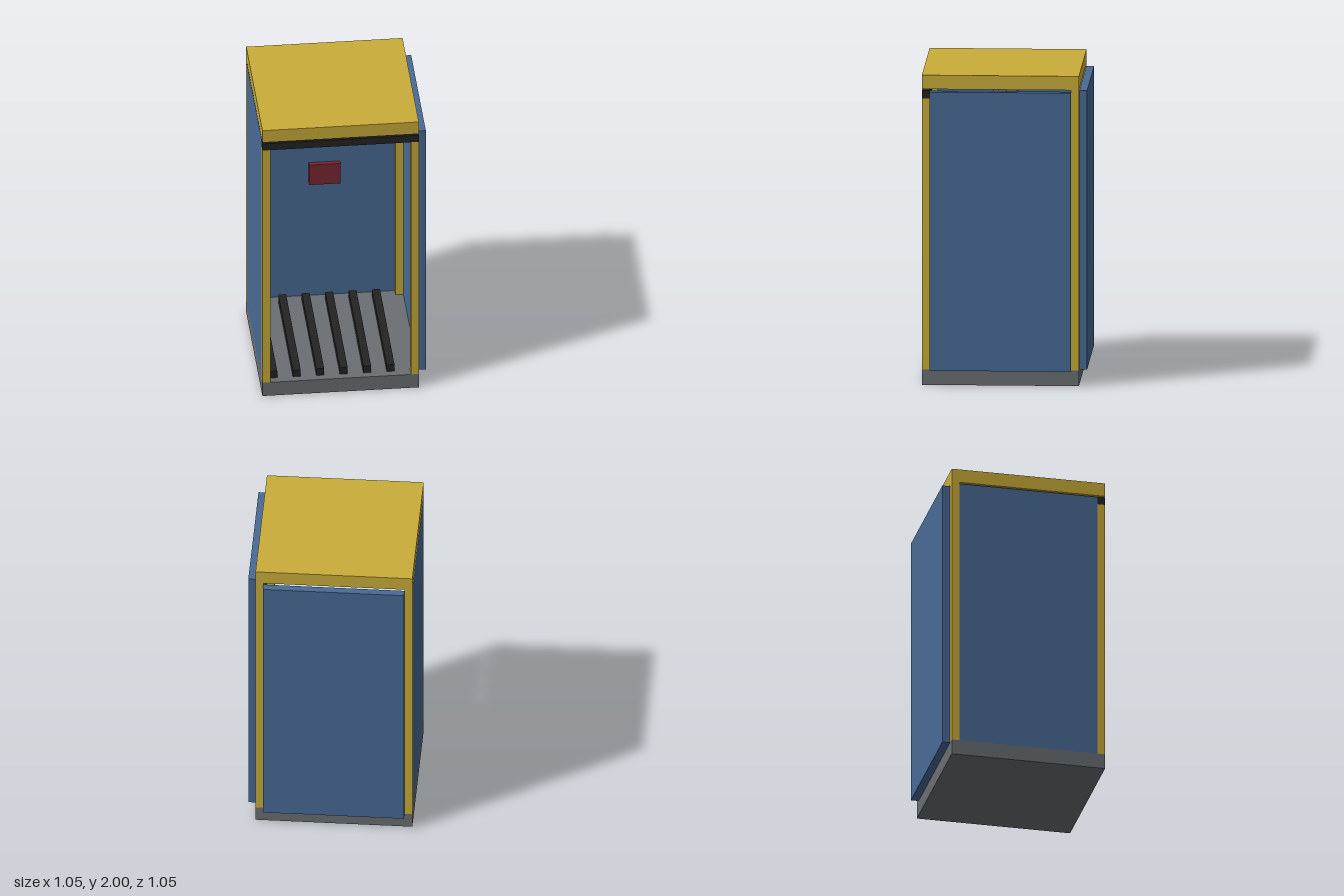
import * as THREE from 'three';

function mat(name, color) {
  const m = new THREE.MeshStandardMaterial({ color });
  m.name = name;
  return m;
}

export function createModel() {
  const yellow = mat('mustardYellow', 0xcaad39);
  const blue = mat('steelBlue', 0x496b96);
  const gray = mat('gray', 0x6b6f73);
  const black = mat('black', 0x232323);
  const red = mat('darkRed', 0x7a2630);

  const model = new THREE.Group();
  model.name = 'booth';

  // The frame is one unit square; the outer panels shift it off centre
  const body = new THREE.Group();
  body.name = 'body';
  body.position.set(-0.025, 0, 0.025);
  model.add(body);

  // Box given by its ranges along x, y and z
  function box(name, material, [x0, x1], [y0, y1], [z0, z1]) {
    const mesh = new THREE.Mesh(new THREE.BoxGeometry(x1 - x0, y1 - y0, z1 - z0), material);
    mesh.position.set((x0 + x1) / 2, (y0 + y1) / 2, (z0 + z1) / 2);
    mesh.name = name;
    body.add(mesh);
  }
  const around = (c, size) => [c - size / 2, c + size / 2];

  // Base and roof
  box('base', gray, [-0.5, 0.5], [0, 0.1], [-0.5, 0.5]);
  box('roof', yellow, [-0.5, 0.5], [1.91, 2], [-0.5, 0.5]);

  // Corner posts; the front pair stops under the lintel
  for (const x of [-0.475, 0.475]) {
    box('frontPost', yellow, around(x, 0.05), [0.1, 1.85], [0.45, 0.5]);
    box('backPost', yellow, around(x, 0.05), [0.1, 1.91], [-0.5, -0.45]);
  }
  box('lintel', black, [-0.5, 0.5], [1.85, 1.9], [0.45, 0.5]);

  // Wall panels: one set between the posts, two mounted outside them
  box('rightPanel', blue, [-0.5, -0.45], [0.1, 1.9], [-0.45, 0.45]);
  box('leftPanel', blue, [0.5, 0.55], [0.1, 1.9], [-0.45, 0.45]);
  box('backPanel', blue, [-0.45, 0.45], [0.1, 1.9], [-0.55, -0.5]);

  // Floor slats
  for (let i = 0; i < 6; i++) {
    box('floorSlat', black, around(-0.425 + i * 0.15, 0.05), [0.1, 0.15], [-0.45, 0.45]);
  }

  // Ceiling fixtures
  for (const x of [-0.225, 0.225]) {
    box('fixtureStem', gray, around(x, 0.05), [1.8, 1.91], around(0, 0.05));
    box('fixturePlate', gray, around(x, 0.15), [1.75, 1.8], around(0, 0.15));
  }

  // Small plate on the inside of the back wall
  box('wallPlate', red, around(0, 0.2), [0.95, 1.1], [-0.5, -0.47]);

  return model;
}
